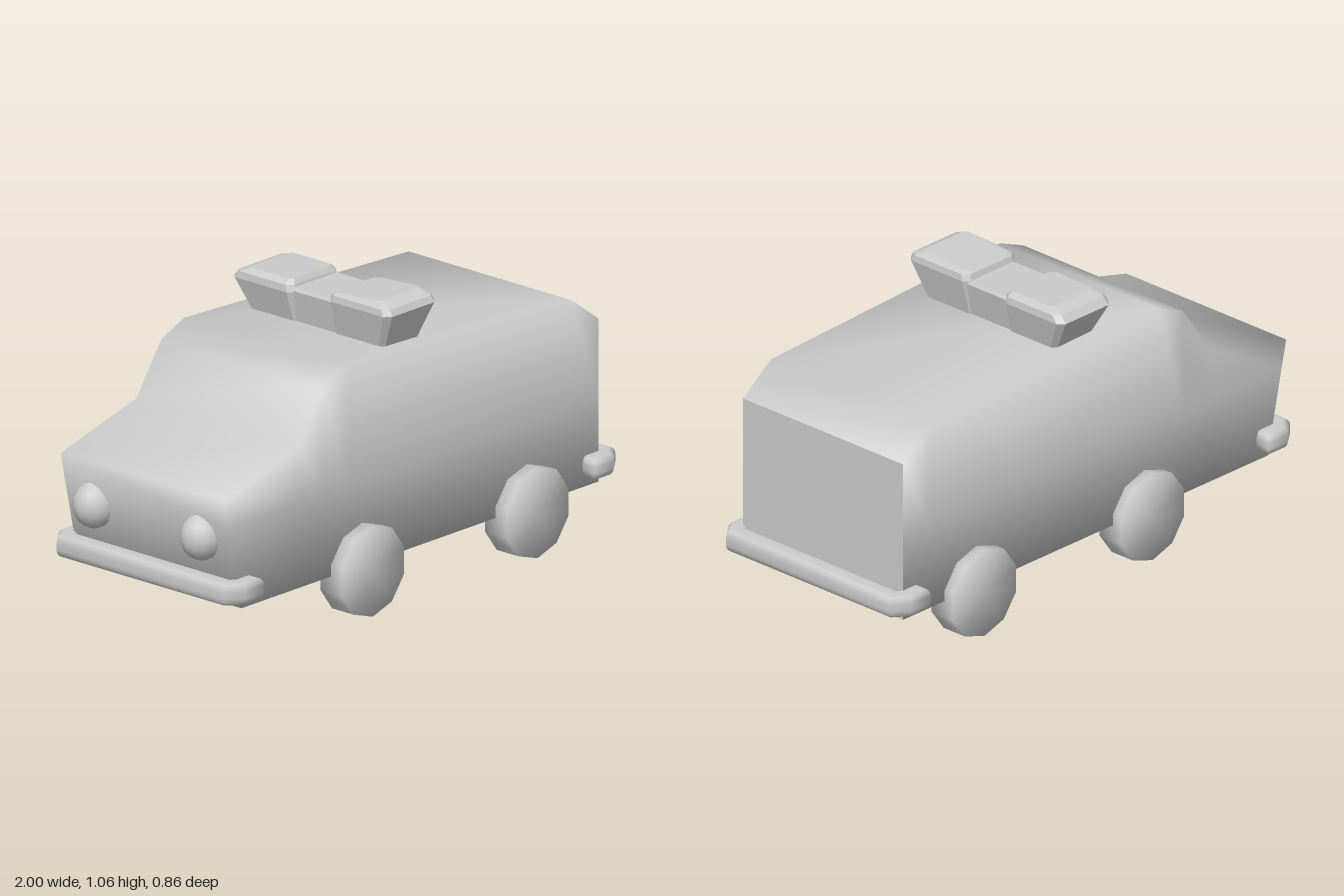
import * as THREE from 'three';
import { mergeVertices } from 'three/addons/utils/BufferGeometryUtils.js';

const material = new THREE.MeshStandardMaterial({ color: 0xcccccc });

function add(parent, name, geometry) {
  const mesh = new THREE.Mesh(geometry, material);
  mesh.name = name;
  parent.add(mesh);
  return mesh;
}

// Weld the corners so shading runs smoothly over the edges
function smooth(geometry) {
  geometry.deleteAttribute('uv');
  geometry.deleteAttribute('normal');
  const welded = mergeVertices(geometry, 1e-4);
  welded.computeVertexNormals();
  return welded;
}

// Skin over convex rings of points. Smooth skins keep a crisp end cap.
function loft(rings, flat) {
  const n = rings[0].length, last = rings.length - 1;
  const points = [...rings, rings[last]].flat();
  const index = [];
  for (let i = 0; i < last; i++) {
    for (let j = 0; j < n; j++) {
      const a = i * n + j, b = i * n + (j + 1) % n;
      index.push(a, b, b + n, a, b + n, a + n);
    }
  }
  const end = (last + 1) * n;
  for (let k = 1; k < n - 1; k++) {
    index.push(0, k + 1, k);
    index.push(end, end + k, end + k + 1);
  }
  let geometry = new THREE.BufferGeometry();
  geometry.setAttribute('position', new THREE.Float32BufferAttribute(points.flat(), 3));
  geometry.setIndex(index);
  if (flat) geometry = geometry.toNonIndexed();
  geometry.computeVertexNormals();
  return geometry;
}

// Body: bonnet, windscreen, roof and sloping tail, as stations along x
function bodyGeometry() {
  const w = 0.375, bottom = 0.175, belt = 0.48;
  const stations = [ // x at top, y at top, x at belt, x at bottom
    [-0.96, 0.58, -0.938, -0.87],
    [-0.58, 0.68, -0.58, -0.58],
    [-0.455, 0.86, -0.455, -0.455],
    [-0.34, 0.908, -0.34, -0.34],
    [0.785, 0.86, 0.785, 0.785],
    [0.92, 0.76, 0.92, 0.92],
  ];
  return loft(stations.map(([xt, yt, xm, xb]) => [
    [xt, yt, -w], [xt, yt, w],
    [xm, belt, w], [xb, bottom, w],
    [xb, bottom, -w], [xm, belt, -w],
  ]), false);
}

// U-shaped bumper with rounded upper and lower edges, opening towards -x
function bumperGeometry() {
  const s = new THREE.Shape();
  const outline = [
    [0.86, 0.41], [0.93, 0.41], [0.975, 0.375],
    [0.975, -0.375], [0.93, -0.41], [0.86, -0.41],
    [0.86, -0.375], [0.92, -0.375], [0.94, -0.36],
    [0.94, 0.36], [0.92, 0.375], [0.86, 0.375],
  ];
  s.setFromPoints(outline.map(([x, z]) => new THREE.Vector2(x, z)));
  const g = new THREE.ExtrudeGeometry(s, {
    depth: 0.024, bevelThickness: 0.028, bevelSize: 0.02, bevelSegments: 3,
  });
  g.translate(0, 0, -0.012).rotateX(-Math.PI / 2);
  return smooth(g);
}

// Rectangular layer with clipped corners; slope tilts it along z
function layer(y, x0, x1, z0, z1, clip, slope = 0) {
  return [
    [x0 + clip, z1], [x1 - clip, z1], [x1, z1 - clip], [x1, z0 + clip],
    [x1 - clip, z0], [x0 + clip, z0], [x0, z0 + clip], [x0, z1 - clip],
  ].map(([x, z]) => [x, y + slope * z, z]);
}

export function createModel() {
  const model = new THREE.Group();
  model.name = 'van';

  add(model, 'body', bodyGeometry());

  // Wheels: ten-sided, softly shaded
  const wheel = smooth(new THREE.CylinderGeometry(0.163, 0.163, 0.1, 10).rotateX(Math.PI / 2));
  for (const [end, x] of [['front', -0.265], ['rear', 0.56]]) {
    for (const [side, z] of [['Right', -0.363], ['Left', 0.375]]) {
      add(model, end + side + 'Wheel', wheel).position.set(x, 0.166, z);
    }
  }

  // Bumpers
  add(model, 'rearBumper', bumperGeometry()).position.set(0, 0.245, 0);
  const front = add(model, 'frontBumper', bumperGeometry());
  front.rotation.y = Math.PI;
  front.position.set(0.025, 0.245, 0);

  // Headlights
  const lamp = new THREE.SphereGeometry(0.08, 14, 10);
  for (const z of [-0.255, 0.24]) {
    const light = add(model, 'headlight', lamp);
    light.position.set(-0.92, 0.415, z);
    light.scale.set(1, 1.04, 0.92);
  }

  // Roof light: a low centre block between two flared pods
  const bar = new THREE.Group();
  bar.name = 'roofLight';
  model.add(bar);
  add(bar, 'centreBlock', loft([
    layer(0.87, -0.08, 0.095, -0.095, 0.09, 0.002),
    layer(1.01, -0.103, 0.123, -0.095, 0.09, 0.002),
    layer(1.022, -0.095, 0.115, -0.095, 0.09, 0.002),
  ], true));
  add(bar, 'leftPod', loft([
    layer(0.87, -0.083, 0.1, 0.078, 0.295, 0.015),
    layer(1.02, -0.12, 0.135, 0.076, 0.36, 0.022),
    layer(1.043, -0.117, 0.132, 0.083, 0.348, 0.022),
    layer(1.044, -0.098, 0.113, 0.093, 0.305, 0.015, 0.065),
  ], true));
  add(bar, 'rightPod', loft([
    layer(0.87, -0.083, 0.1, -0.295, -0.086, 0.015),
    layer(1.005, -0.12, 0.135, -0.367, -0.085, 0.022),
    layer(1.03, -0.117, 0.132, -0.345, -0.092, 0.022),
    layer(1.047, -0.098, 0.113, -0.3, -0.103, 0.015),
  ], true));

  return model;
}
